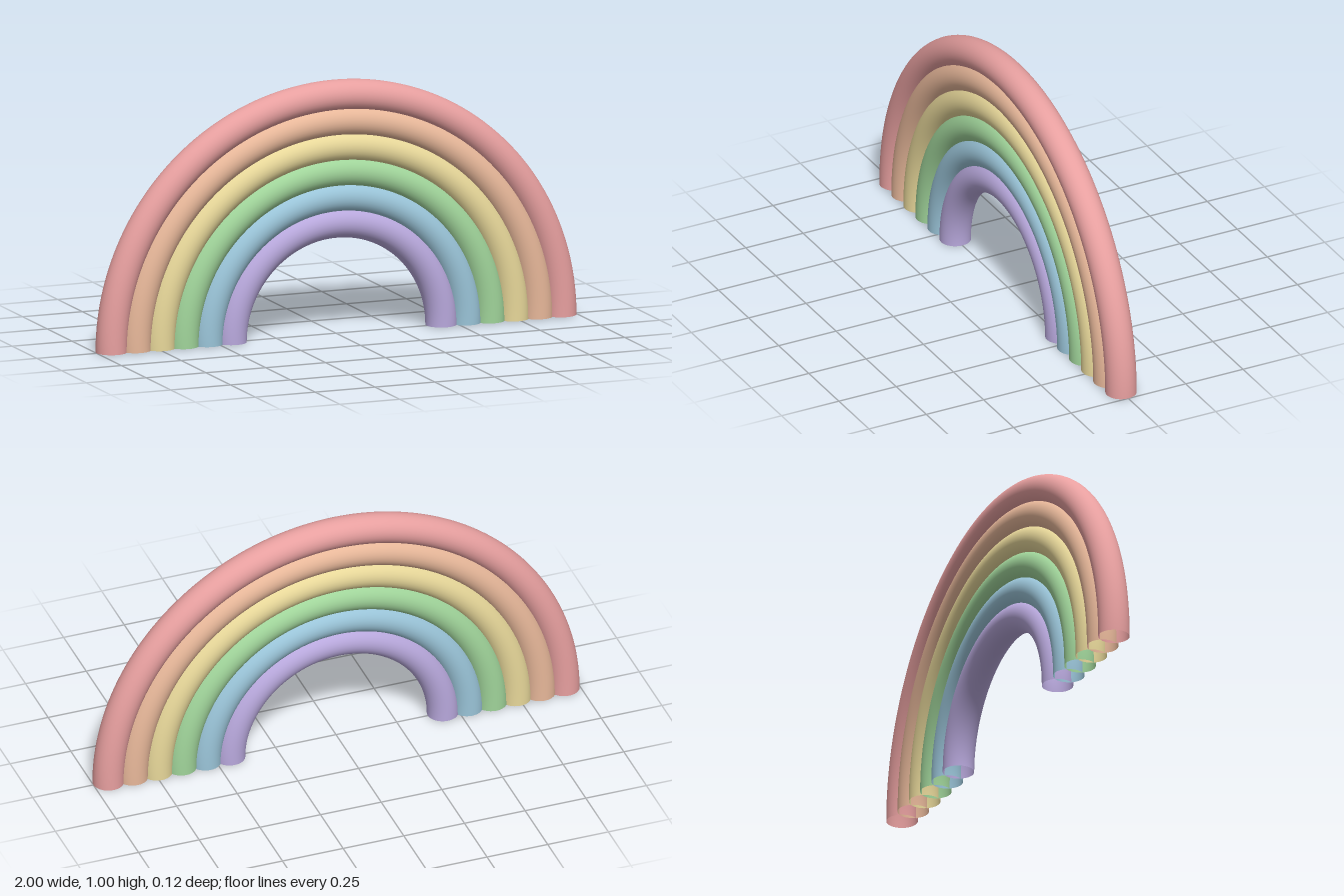
import * as THREE from 'three';

// Arches from the outermost to the innermost
const BANDS = [
  ['red', 0xe8a0a0],
  ['orange', 0xe8b89a],
  ['yellow', 0xe8d89a],
  ['green', 0xa0d49a],
  ['blue', 0x9ac4d8],
  ['purple', 0xb8a8dc],
];
const TUBE = 0.061; // slightly over half the spacing, so neighbours overlap
const SPACING = 0.1;

export function createModel() {
  const model = new THREE.Group();
  model.name = 'rainbow';

  BANDS.forEach(([name, color], i) => {
    // Half ring with open ends, standing on the ground
    const radius = 1 - TUBE - i * SPACING;
    const material = new THREE.MeshStandardMaterial({ color, side: THREE.DoubleSide });
    material.name = name;
    const arch = new THREE.Mesh(new THREE.TorusGeometry(radius, TUBE, 32, 96, Math.PI), material);
    arch.name = `${name}Arch`;
    model.add(arch);
  });

  return model;
}
